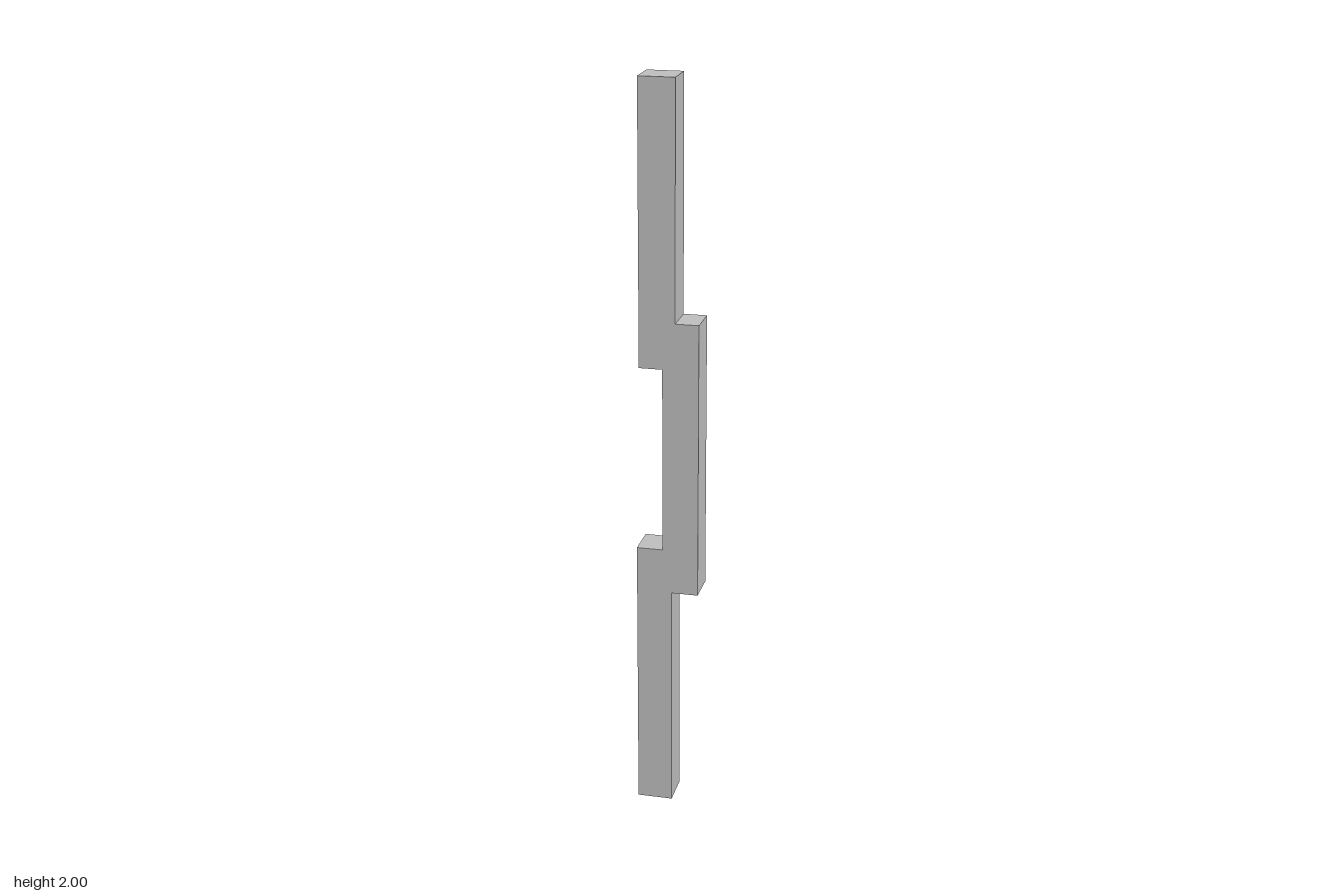
import * as THREE from 'three';

const DEPTH = 0.096;

export function createModel() {
  const group = new THREE.Group();
  group.name = 'steppedPost';
  const grey = new THREE.MeshStandardMaterial({ color: 0xc0c0c0 });
  grey.name = 'light grey';

  // Outline of three staggered bars that overlap at their ends
  const outline = [
    [-0.083, 0], [0.012, 0], [0.012, 0.628], [0.083, 0.628],
    [0.083, 1.377], [0.021, 1.377], [0.021, 2], [-0.075, 2],
    [-0.075, 1.253], [-0.013, 1.253], [-0.013, 0.751], [-0.083, 0.751],
  ].map(([x, y]) => new THREE.Vector2(x, y));

  // One solid body, centred in depth
  const geometry = new THREE.ExtrudeGeometry(new THREE.Shape(outline), { depth: DEPTH, bevelEnabled: false });
  geometry.translate(0, 0, -DEPTH / 2);
  const body = new THREE.Mesh(geometry, grey);
  body.name = 'staggeredBars';
  group.add(body);
  return group;
}
